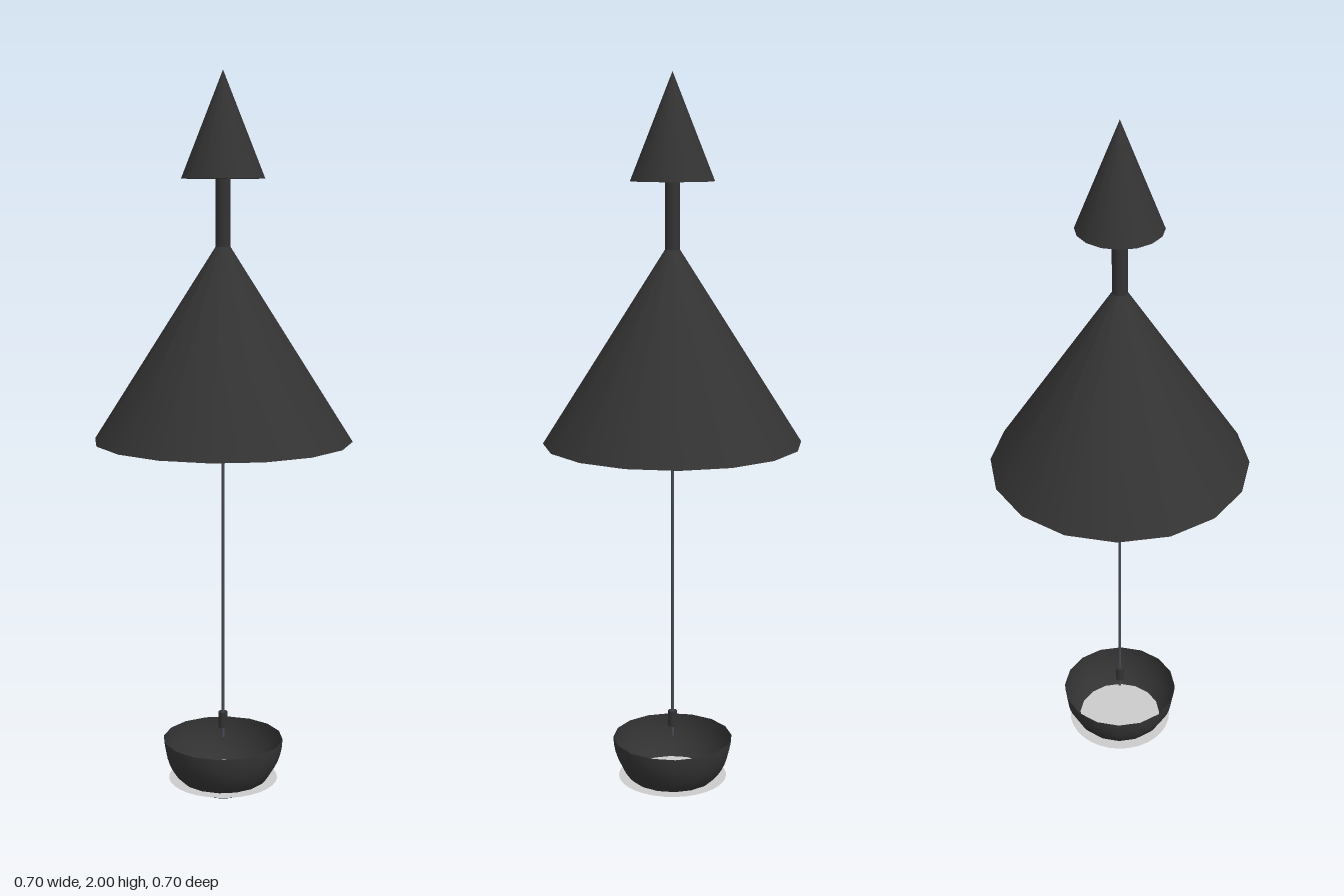
import * as THREE from 'three';

const SIDES = 16;

export function createModel() {
  const model = new THREE.Group();
  const dark = new THREE.MeshStandardMaterial({ color: 0x333333 });
  const darkOpen = new THREE.MeshStandardMaterial({ color: 0x333333, side: THREE.DoubleSide });
  const pale = new THREE.MeshStandardMaterial({ color: 0xcccccc, side: THREE.DoubleSide });
  const wireGrey = new THREE.MeshStandardMaterial({ color: 0x4a4a55 });

  const add = (name, geometry, material, y) => {
    const mesh = new THREE.Mesh(geometry, material);
    mesh.name = name;
    mesh.position.y = y;
    model.add(mesh);
  };
  // Round upright part spanning bottom to top
  const upright = (name, rTop, rBottom, bottom, top, material, sides = SIDES) =>
    add(name, new THREE.CylinderGeometry(rTop, rBottom, top - bottom, sides), material, (top + bottom) / 2);

  // Cones joined by a short post
  upright('topCone', 0, 0.112, 1.72, 2, dark);
  upright('post', 0.02, 0.02, 1.5, 1.73, dark);
  upright('mainCone', 0, 0.352, 1.02, 1.573, dark);

  // Hanging wire with its small bead
  upright('wire', 0.004, 0.004, 0.17, 1.03, wireGrey, 8);
  upright('bead', 0.013, 0.013, 0.2, 0.245, dark, 8);

  // Open half-sphere bowl
  const bowl = new THREE.SphereGeometry(0.168, SIDES, 12, 0, Math.PI * 2, Math.PI / 2, Math.PI / 2);
  add('bowl', bowl, darkOpen, 0.168);

  // Flat disc crossing the lower part of the bowl
  const disc = new THREE.CircleGeometry(0.153, 32).rotateX(-Math.PI / 2);
  add('bowlDisc', disc, pale, 0.053);

  return model;
}
